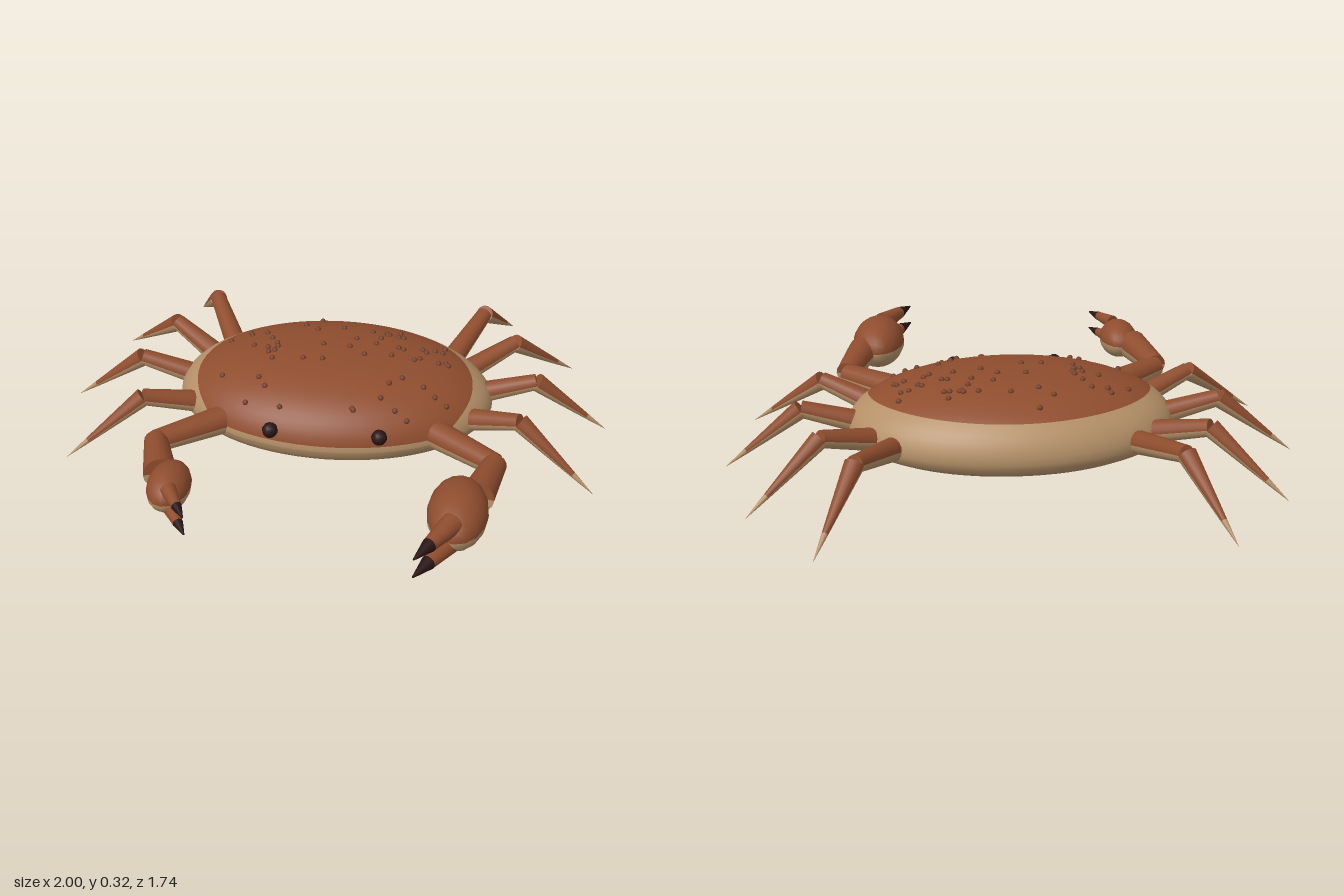
import * as THREE from 'three';

const mat = (name, color, extra = {}) => {
  const m = new THREE.MeshStandardMaterial({ color, ...extra });
  m.name = name;
  return m;
};
const V = (x, y, z) => new THREE.Vector3(x, y, z);

export function createModel() {
  const brown = mat('shell brown', 0x8f4d2e);
  const tan = mat('belly tan', 0xb59068);
  const dark = mat('dark tips', 0x2a1414);
  const bumpBrown = mat('bump brown', 0x74402a);

  const root = new THREE.Group();
  root.name = 'crab';
  const add = (parent, name, geo, material) => {
    const m = new THREE.Mesh(geo, material);
    m.name = name;
    parent.add(m);
    return m;
  };

  // Tapered limb segment from a to b, one colour above and another below
  function segment(parent, name, a, b, r0, r1, top, bottom) {
    const g = new THREE.Group();
    g.name = name;
    const dir = b.clone().sub(a), len = dir.length();
    dir.normalize();
    const up = V(0, 1, 0).addScaledVector(dir, -dir.y).normalize();
    const side = dir.clone().cross(up);
    g.quaternion.setFromRotationMatrix(new THREE.Matrix4().makeBasis(side, dir, up));
    g.position.copy(a).lerp(b, 0.5);
    const half = (start) => new THREE.CylinderGeometry(r1, r0, len, 8, 1, false, start, Math.PI);
    add(g, name + 'Top', half(-Math.PI / 2), top);
    add(g, name + 'Underside', half(Math.PI / 2), bottom);
    parent.add(g);
  }

  // Body: oval shell with a domed top and a shallow flat belly
  const RX = 0.575, RZ = 0.375, CZ = -0.125;
  const domeY = (r) => 0.13 + 0.19 * Math.sqrt(Math.max(0, 1 - r ** 2.5));
  // Radius at which the brown oval ends along angle t
  function patchEdge(t) {
    let lo = 0, hi = 0.994;
    const inside = (r) =>
      (RX * r * Math.cos(t) / 0.5) ** 2 + ((CZ + RZ * r * Math.sin(t) + 0.07) / 0.362) ** 2 < 1;
    if (inside(hi)) return hi;
    for (let i = 0; i < 25; i++) {
      const mid = (lo + hi) / 2;
      if (inside(mid)) lo = mid; else hi = mid;
    }
    return lo;
  }
  const N = 72, TOP = 14, RIM = 6;
  const belly = [[0.985, 0.11], [0.95, 0.088], [0.88, 0.07], [0.75, 0.06], [0.4, 0.056], [0, 0.055]];
  const rows = TOP + RIM + belly.length;
  const pos = [], index = [];
  for (let j = 0; j <= rows; j++) {
    for (let i = 0; i < N; i++) {
      const t = (i / N) * Math.PI * 2, edge = patchEdge(t);
      let r, y;
      if (j <= TOP + RIM) {
        r = j <= TOP
          ? edge * Math.sin((j / TOP) * Math.PI / 2)
          : edge + (1 - edge) * Math.sin(((j - TOP) / RIM) * Math.PI / 2);
        y = domeY(r);
      } else [r, y] = belly[j - TOP - RIM - 1];
      pos.push(RX * r * Math.cos(t), y, CZ + RZ * r * Math.sin(t));
    }
  }
  for (let j = 0; j < rows; j++) {
    for (let i = 0; i < N; i++) {
      const k = (i + 1) % N, a = j * N + i, b = j * N + k, c = a + N, d = b + N;
      index.push(a, b, c, b, d, c);
    }
  }
  const shell = new THREE.BufferGeometry();
  shell.setAttribute('position', new THREE.Float32BufferAttribute(pos, 3));
  shell.setIndex(index);
  shell.computeVertexNormals();
  shell.addGroup(0, TOP * N * 6, 0);
  shell.addGroup(TOP * N * 6, (rows - TOP) * N * 6, 1);
  add(root, 'shell', shell, [brown, tan]);

  // Small bumps scattered over the shell
  let seed = 11;
  const rand = () => (seed = (seed * 16807) % 2147483647) / 2147483647;
  const bumps = new THREE.Group();
  bumps.name = 'shellBumps';
  const bumpGeo = new THREE.SphereGeometry(0.0105, 8, 6);
  for (let i = 0; i < 60; i++) {
    const t = rand() * Math.PI * 2, r = 0.92 * Math.sqrt(rand()) * patchEdge(t);
    add(bumps, 'bump', bumpGeo, bumpBrown)
      .position.set(RX * r * Math.cos(t), domeY(r) + 0.001, CZ + RZ * r * Math.sin(t));
  }
  root.add(bumps);

  // Walking legs: base, knee and tip as x, z on the left side
  const legs = [
    [0.43, -0.01, 0.67, 0.1, 0.94, 0.22],
    [0.45, -0.15, 0.73, -0.16, 1.0, -0.18],
    [0.42, -0.26, 0.65, -0.415, 0.89, -0.575],
    [0.39, -0.32, 0.53, -0.615, 0.655, -0.87],
  ];
  // Claws: the left one is larger
  const claws = {
    left: { elbow: [0.59, 0.285], wrist: [0.535, 0.485], palm: [0.475, 0.58], size: [0.1, 0.093, 0.158],
      turn: -0.06, finger: [0.46, 0.685], tip: [0.35, 0.87], spread: 0.036, r: 0.038 },
    right: { elbow: [0.585, 0.285], wrist: [0.525, 0.485], palm: [0.48, 0.55], size: [0.073, 0.07, 0.112],
      turn: 0.03, finger: [0.465, 0.62], tip: [0.39, 0.755], spread: 0.035, r: 0.027 },
  };

  for (const [sideName, s] of [['left', 1], ['right', -1]]) {
    legs.forEach(([bx, bz, kx, kz, tx, tz], i) => {
      const leg = new THREE.Group();
      leg.name = `${sideName}Leg${i + 1}`;
      const base = V(s * bx, 0.13, bz), knee = V(s * kx, 0.21, kz), tip = V(s * tx, 0.008, tz);
      const split = knee.clone().lerp(tip, 0.72);
      segment(leg, 'upperLeg', base, knee, 0.044, 0.03, brown, tan);
      segment(leg, 'lowerLeg', knee, split, 0.034, 0.0105, brown, tan);
      segment(leg, 'legTip', split, tip, 0.0105, 0.0005, tan, tan);
      root.add(leg);
    });

    const c = claws[sideName];
    const claw = new THREE.Group();
    claw.name = sideName + 'Claw';
    const at = ([x, z], y) => V(s * x, y, z);
    segment(claw, 'upperArm', at([0.38, 0.12], 0.15), at(c.elbow, 0.157), 0.052, 0.04, brown, tan);
    segment(claw, 'forearm', at(c.elbow, 0.16), at(c.wrist, 0.173), 0.042, 0.058, brown, tan);

    // Palm in two halves, brown over tan
    const palm = new THREE.Group();
    palm.name = 'palm';
    const half = (start) => new THREE.SphereGeometry(1, 16, 8, 0, Math.PI * 2, start, Math.PI / 2);
    add(palm, 'palmTop', half(0), brown);
    add(palm, 'palmUnderside', half(Math.PI / 2), tan);
    palm.position.copy(at(c.palm, 0.178));
    palm.scale.set(...c.size);
    palm.rotation.y = s * c.turn;
    claw.add(palm);

    // Pair of pincer fingers with dark points
    for (const [name, dy] of [['upperFinger', 1], ['lowerFinger', -1]]) {
      const a = at(c.finger, 0.184 + dy * c.spread);
      const b = at(c.tip, 0.184 + dy * c.spread);
      const m = a.clone().lerp(b, 0.6);
      segment(claw, name, a, m, c.r, c.r * 0.62, brown, brown);
      segment(claw, name + 'Tip', m, b, c.r * 0.64, 0.003, dark, dark);
    }
    root.add(claw);

    // Eye
    add(root, sideName + 'Eye', new THREE.SphereGeometry(0.028, 10, 8), dark)
      .position.set(s * 0.19, 0.205, 0.24);
  }
  return root;
}
